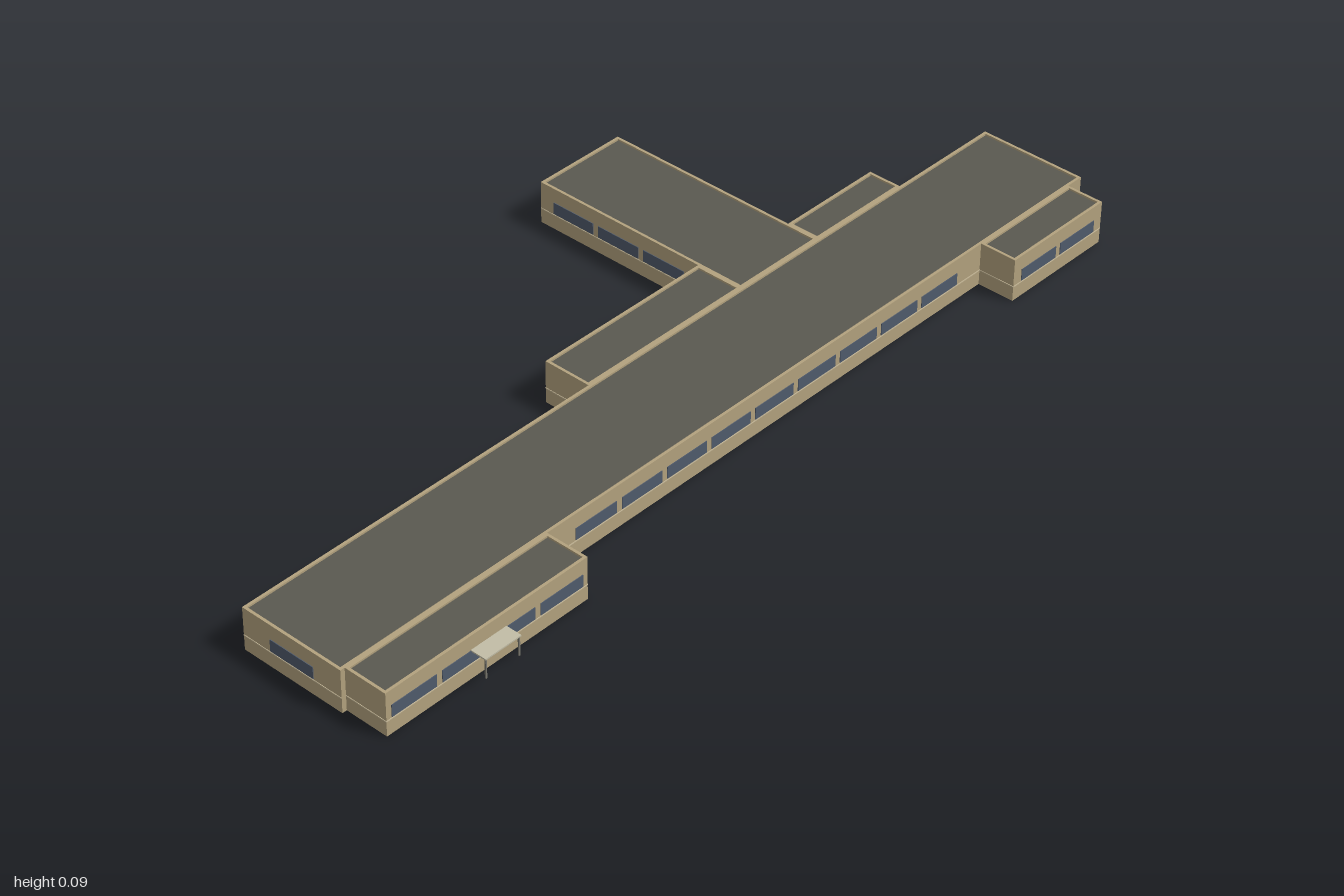
import * as THREE from 'three';

const mat = (name, color, side = THREE.FrontSide) => {
  const m = new THREE.MeshStandardMaterial({ color, side });
  m.name = name;
  return m;
};

export function createModel() {
  const model = new THREE.Group();
  model.name = 'longLowBuilding';
  const wallMat = mat('tanWall', 0xb3a27e);
  const roofMat = mat('darkRoof', 0x5a5950);
  const glassMat = mat('blueGreyGlass', 0x505b6c);
  const sillMat = mat('paleSill', 0xcbbd9c);
  const canopyMat = mat('paleCanopy', 0xc2bda6);
  const postMat = mat('greyPost', 0x77756c);

  const H = 0.094, T = 0.006, ROOF = 0.09;

  const box = (name, material, w, h, d, x, y, z, parent = model) => {
    const mesh = new THREE.Mesh(new THREE.BoxGeometry(w, h, d), material);
    mesh.name = name;
    mesh.position.set(x, y, z);
    parent.add(mesh);
    return mesh;
  };

  // A closed rectangle in plan, drawn with y = -z
  const rect = (C, x0, x1, z0, z1) => new C([
    new THREE.Vector2(x0, -z1), new THREE.Vector2(x1, -z1),
    new THREE.Vector2(x1, -z0), new THREE.Vector2(x0, -z0),
  ]);

  // Hollow wing: wall ring open at the bottom, with a roof sunk behind a parapet
  const wing = (name, x0, x1, z0, z1) => {
    const g = new THREE.Group();
    g.name = name;
    const shape = rect(THREE.Shape, x0, x1, z0, z1);
    shape.holes.push(rect(THREE.Path, x0 + T, x1 - T, z0 + T, z1 - T));
    const geo = new THREE.ExtrudeGeometry(shape, { depth: H, bevelEnabled: false });
    geo.rotateX(-Math.PI / 2);
    const walls = new THREE.Mesh(geo, wallMat);
    walls.name = 'walls';
    g.add(walls);
    box('roof', roofMat, x1 - x0 - 2 * T, 0.003, z1 - z0 - 2 * T,
      (x0 + x1) / 2, ROOF - 0.0015, (z0 + z1) / 2, g);
    model.add(g);
  };

  wing('mainHall', -1, 1, 0.075, 0.314);
  wing('frontRightWing', -0.99, -0.505, 0.314, 0.41);
  wing('frontLeftWing', 0.69, 0.96, 0.314, 0.396);
  wing('rearWing', 0.27, 0.49, -0.445, 0.075);
  wing('rearLongAnnex', -0.147, 0.27, -0.033, 0.075);
  wing('rearShortAnnex', 0.49, 0.735, 0.001, 0.075);

  // Facade details: a row of centred windows and a thin sill line.
  // axis 'x' runs along x at depth z = at; axis 'z' runs along z at x = at.
  const facade = (axis, a, b, at, out, count) => {
    const g = new THREE.Group();
    g.name = 'facadeWindows';
    const put = (name, m, len, h, c, y, thick) => {
      const p = at + out * thick / 2;
      if (axis === 'x') box(name, m, len, h, thick, c, y, p, g);
      else box(name, m, thick, h, len, p, y, c, g);
    };
    const mid = (a + b) / 2;
    put('sillLine', sillMat, b - a, 0.002, mid, 0.033, 0.001);
    for (let i = 0; i < count; i++) {
      put('window', glassMat, 0.105, 0.026, mid + (i - (count - 1) / 2) * 0.1185, 0.049, 0.0015);
    }
    model.add(g);
  };

  // Front
  facade('x', -0.99, -0.505, 0.41, 1, 4);
  facade('x', -0.505, 0.69, 0.314, 1, 9);
  facade('x', 0.69, 0.96, 0.396, 1, 2);
  // Back
  facade('x', -1, -0.147, 0.075, -1, 7);
  facade('x', -0.147, 0.27, -0.033, -1, 3);
  facade('x', 0.27, 0.49, -0.445, -1, 1);
  facade('x', 0.49, 0.735, 0.001, -1, 1);
  facade('x', 0.735, 1, 0.075, -1, 2);
  // Ends and wing sides
  for (const s of [-1, 1]) facade('z', 0.075, 0.314, s, s, 1);
  facade('z', -0.445, 0.001, 0.49, 1, 3);
  facade('z', -0.445, -0.033, 0.27, -1, 3);
  facade('z', 0.314, 0.41, -0.99, -1, 0);
  facade('z', 0.314, 0.41, -0.505, 1, 0);
  facade('z', 0.314, 0.396, 0.69, -1, 0);
  facade('z', 0.314, 0.396, 0.96, 1, 0);
  facade('z', -0.033, 0.075, -0.147, -1, 0);
  facade('z', 0.001, 0.075, 0.735, 1, 0);

  // Entrance canopy on two slim posts
  box('canopy', canopyMat, 0.086, 0.003, 0.035, -0.748, 0.062, 0.4275);
  for (const s of [-1, 1]) {
    box('canopyPost', postMat, 0.003, 0.043, 0.003, -0.748 + s * 0.04, 0.04, 0.442);
  }
  return model;
}
